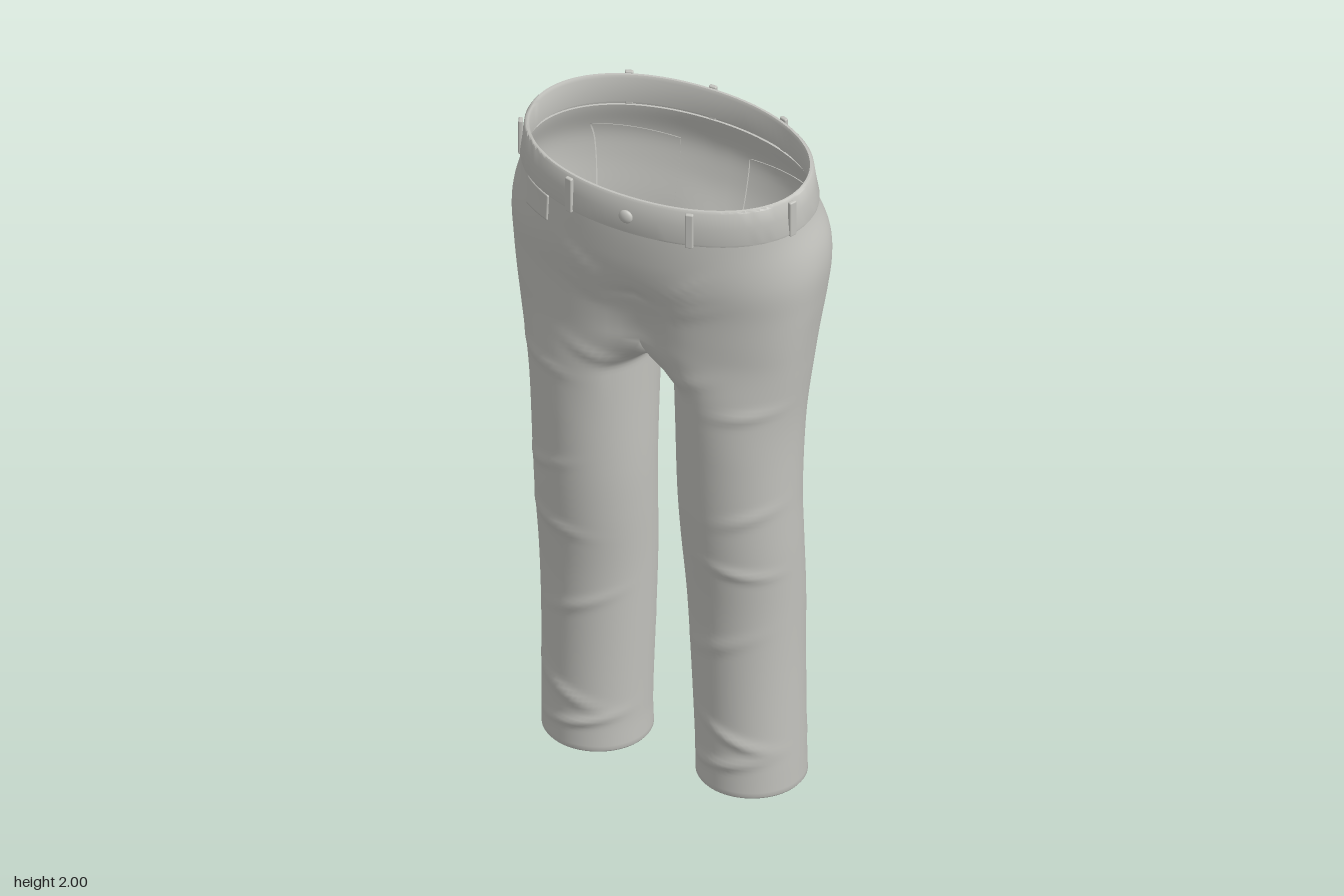
import * as THREE from 'three';
import { mergeVertices, toCreasedNormals } from 'three/addons/utils/BufferGeometryUtils.js';
import { RoundedBoxGeometry } from 'three/addons/geometries/RoundedBoxGeometry.js';

// Silhouette by height: y, outer x, inner leg x, front z, back z
const PROFILE = [
  [0, 0.368, 0.08, 0.13, -0.174], [0.1, 0.368, 0.08, 0.13, -0.168],
  [0.4, 0.367, 0.068, 0.135, -0.166], [0.6, 0.37, 0.06, 0.145, -0.164],
  [0.8, 0.373, 0.052, 0.168, -0.15], [0.95, 0.374, 0.047, 0.18, -0.143],
  [1.2, 0.383, 0.042, 0.192, -0.157], [1.4, 0.405, 0.036, 0.203, -0.175],
  [1.5, 0.418, 0.03, 0.208, -0.188], [1.6, 0.432, 0.03, 0.217, -0.215],
  [1.7, 0.442, 0.03, 0.236, -0.248], [1.77, 0.436, 0.03, 0.245, -0.26],
  [1.87, 0.408, 0.03, 0.25, -0.238], [1.98, 0.394, 0.03, 0.246, -0.225],
];
const CROTCH = 1.46, DIP = 0.095, WAIST = 1.885;
const N = 48, M = 20; // columns on the outer and inner side of a leg
const { smoothstep, lerp, clamp } = THREE.MathUtils;

// Smooth interpolation of the silhouette
function profile(y) {
  const last = PROFILE.length - 1;
  let i = 0;
  while (i < last - 1 && y > PROFILE[i + 1][0]) i++;
  const p = PROFILE[i], q = PROFILE[i + 1], h = q[0] - p[0];
  const t = clamp((y - p[0]) / h, 0, 1);
  const slope = (k, c) => {
    const a = PROFILE[Math.max(k - 1, 0)], b = PROFILE[Math.min(k + 1, last)];
    return (b[c] - a[c]) / (b[0] - a[0]);
  };
  const [X, xi, zf, zb] = [1, 2, 3, 4].map((c) =>
    (2 * t ** 3 - 3 * t * t + 1) * p[c] + (t ** 3 - 2 * t * t + t) * h * slope(i, c) +
    (3 * t * t - 2 * t ** 3) * q[c] + (t ** 3 - t * t) * h * slope(i + 1, c));
  return { X, xi, zc: (zf + zb) / 2, h: (zf - zb) / 2 };
}
const power = (y) => lerp(2.6, 2.1, smoothstep(y, CROTCH, 1.85));
const tilt = (y, z) => y - 0.08 * z * smoothstep(y, 1.55, 1.86);
const groove = (x, y) => 1 - 0.13 * (1 - smoothstep(y, CROTCH, 1.68)) * Math.exp(-((x / 0.09) ** 2));

// Point on the hip cross-section; angle 0 is the front, PI the back
function hipPoint(y, a, off = 0) {
  const { X, zc, h } = profile(y), e = 2 / power(y);
  const s = Math.sin(a), c = Math.cos(a);
  const x = (X + off) * Math.sign(s) * Math.abs(s) ** e;
  const z = zc + (h + off) * Math.sign(c) * Math.abs(c) ** e * groove(x, y);
  return [Math.abs(x) < 1e-6 ? 0 : x, y, z];
}
function hipZ(x, y, side) {
  const { X, zc, h } = profile(y), n = power(y);
  return zc + side * h * Math.max(0, 1 - Math.abs(x / X) ** n) ** (1 / n) * groove(x, y);
}

// One ring of a leg, blended from the half-hip outline to an oval
function legRing(y) {
  const { X, xi, zc, h } = profile(y);
  const cx = (X + xi) / 2, r = (X - xi) / 2, ring = [];
  const fast = smoothstep(y, 1.3, CROTCH), slow = smoothstep(y, 1.12, CROTCH);
  const front = hipPoint(y, 0)[2], back = hipPoint(y, Math.PI)[2];
  for (let i = 0; i < N + M; i++) {
    let d, b = fast, deg;
    if (i <= N) {
      d = hipPoint(y, (Math.PI * i) / N);
      deg = -40 + (260 * i) / N;
      b = lerp(fast, slow, Math.sin((Math.PI * i) / N));
    } else {
      const t = (i - N) / M, k = 2 * t - 1;
      d = [0, y - DIP * (1 - k * k), lerp(back, front, t)];
      deg = 220 + 100 * t;
    }
    const a = (deg * Math.PI) / 180;
    const oval = [cx + r * Math.sin(a), y, zc + h * Math.cos(a)];
    ring.push(oval.map((v, c) => lerp(v, d[c], b)));
  }
  return ring;
}

// Cloth folds: x, y, half length, angle, height, side (1 front, -1 back)
const FOLDS = [[0, 1.63, 0.02, 0, -0.008, 1]];
for (const s of [-1, 1]) {
  for (let k = 0; k < 3; k++) {
    FOLDS.push([s * 0.15, 1.61 + k * 0.045, 0.08, s * (0.45 + k * 0.12), 0.006, 1]);
    FOLDS.push([s * 0.2, 0.76 + k * 0.05, 0.08, s * 0.1, 0.008, -1]);
  }
  FOLDS.push([s * 0.12, 1.36, 0.08, s * 0.4, 0.007, 1], [s * 0.3, 1.29, 0.08, s * 0.15, 0.007, 1],
    [s * 0.3, 0.95, 0.08, 0.35, 0.007, 1], [s * 0.28, 0.76, 0.09, -0.2, 0.008, 1],
    [s * 0.2, 0.5, 0.1, 0.4, 0.006, 1], [s * 0.25, 0.2, 0.1, -0.4, 0.009, 1],
    [s * 0.2, 0.11, 0.12, 0.25, 0.009, 1], [s * 0.2, 0.33, 0.1, 0.3, 0.007, -1],
    [s * 0.24, 0.17, 0.11, -0.3, 0.009, -1], [s * 0.14, 1.38, 0.07, s * 0.3, 0.006, -1]);
}
function crease([x, y, z]) {
  let dz = 0;
  for (const [fx, fy, len, a, amp, side] of FOLDS) {
    const dx = x - fx, dy = y - fy;
    const u = dx * Math.cos(a) + dy * Math.sin(a), v = dy * Math.cos(a) - dx * Math.sin(a);
    dz += side * amp * Math.exp(-((u / len) ** 2) - (v / 0.017) ** 2) * clamp((side * z) / 0.1, 0, 1);
  }
  const lift = (0.016 + 0.08 * z) * (1 - smoothstep(y, 0, 0.15)); // hem is higher in front
  return [x, tilt(y, z) + lift, z + dz];
}

// Joins rings, listed from top to bottom, into a skin
function skin(rings, closed, out) {
  for (let r = 0; r + 1 < rings.length; r++) {
    const n = rings[r].length;
    for (let i = 0; i < (closed ? n : n - 1); i++) {
      const j = (i + 1) % n;
      const a = rings[r][i], b = rings[r][j], c = rings[r + 1][j], d = rings[r + 1][i];
      out.push(a, d, c, a, c, b);
    }
  }
  return out;
}
function toGeometry(points) {
  const g = new THREE.BufferGeometry();
  g.setAttribute('position', new THREE.Float32BufferAttribute(points.flat(), 3));
  const merged = mergeVertices(g, 1e-5);
  merged.computeVertexNormals();
  return merged;
}

function trousersGeometry() {
  const hips = [], leg = [];
  for (let k = 0; k <= 30; k++) {
    const y = lerp(WAIST, CROTCH, k / 30);
    hips.push(Array.from({ length: N + 1 }, (_, i) => hipPoint(y, (Math.PI * i) / N)));
  }
  for (let k = 0; k <= 110; k++) leg.push(legRing(CROTCH * (1 - k / 110)));
  // Hem turned inward
  const hem = leg[leg.length - 1], c = [0.224, 0, -0.022];
  for (const [s, y] of [[0.97, -0.006], [0.9, -0.004], [0.87, 0.01], [0.87, 0.07]])
    leg.push(hem.map((p) => [lerp(c[0], p[0], s), y, lerp(c[2], p[2], s)]));
  const half = skin(leg, true, skin(hips, false, []));
  const mirrored = half.map(([x, y, z]) => [-x, y, z]).reverse();
  return toGeometry([...half, ...mirrored].map(crease));
}

function waistbandGeometry() {
  const rings = [[1.89, -0.012], [1.972, -0.009], [1.98, -0.004], [1.98, 0.002], [1.974, 0.006],
    [1.93, 0.007], [1.88, 0.008], [1.873, 0.006], [1.873, -0.006]].map(([y, off]) =>
    Array.from({ length: 96 }, (_, i) => {
      const p = hipPoint(y, (Math.PI * 2 * i) / 96, off);
      return [p[0], tilt(y, p[2]), p[2]];
    }));
  return toCreasedNormals(toGeometry(skin(rings, true, [])), 0.9);
}

// Cloth patch laid on the hips; corners are TL, TR, BR, BL and tip lowers the bottom middle
function patchGeometry([tl, tr, br, bl], tip, side, height) {
  const S = 18, rings = [];
  const stop = (k) => (k === 0 || k === S ? k / S : lerp(0.02, 0.98, (k - 1) / (S - 2)));
  for (let r = 0; r <= S; r++) {
    rings.push([]);
    for (let i = 0; i <= S; i++) {
      const u = stop(i), v = stop(r);
      const x = lerp(lerp(tl[0], tr[0], u), lerp(bl[0], br[0], u), v);
      const y = lerp(lerp(tl[1], tr[1], u), lerp(bl[1], br[1], u), v) - tip * v * (1 - Math.abs(2 * u - 1));
      const z = hipZ(x, y, side);
      const edge = r === 0 || i === 0 || r === S || i === S;
      rings[r].push([x, tilt(y, z), z + side * (edge ? -0.004 : height)]);
    }
  }
  return toGeometry(skin(rings, false, []));
}

export function createModel() {
  const model = new THREE.Group();
  model.name = 'trousers';
  const cloth = new THREE.MeshStandardMaterial({ color: 0xc3c3be, side: THREE.DoubleSide });
  cloth.name = 'light grey cloth';
  const add = (name, geometry) => {
    const mesh = new THREE.Mesh(geometry, cloth);
    mesh.name = name;
    model.add(mesh);
    return mesh;
  };

  add('hipsAndLegs', trousersGeometry());
  add('waistband', waistbandGeometry());

  // Back pockets and the small front pocket
  const pocket = [[0.1, 1.77], [0.325, 1.795], [0.3, 1.575], [0.095, 1.555]];
  add('leftBackPocket', patchGeometry([1, 0, 3, 2].map((k) => pocket[k]), 0.045, -1, 0.01));
  add('rightBackPocket', patchGeometry([0, 1, 2, 3].map((k) => [-pocket[k][0], pocket[k][1]]), 0.045, -1, 0.01));
  add('coinPocket', patchGeometry([[-0.34, 1.87], [-0.25, 1.87], [-0.253, 1.785], [-0.337, 1.785]], 0, 1, 0.005));
  add('waistPatch', patchGeometry([[-0.035, 1.965], [-0.17, 1.965], [-0.17, 1.89], [-0.035, 1.89]], 0, -1, 0.013));

  // Belt loops around the waistband
  for (const a of [0.42, 1.29, 2.58, Math.PI, -2.58, -1.29, -0.42]) {
    const p = hipPoint(1.92, a, 0.01), q = hipPoint(1.92, a + 0.02, 0.01), o = hipPoint(1.92, a - 0.02, 0.01);
    const strap = add('beltLoop', new RoundedBoxGeometry(0.022, 0.108, 0.012, 2, 0.004));
    strap.position.set(p[0], tilt(1.923, p[2]), p[2]);
    strap.rotation.y = Math.atan2(o[2] - q[2], q[0] - o[0]);
  }

  // Front button
  const button = add('button', new THREE.SphereGeometry(0.02, 20, 12));
  button.scale.z = 0.5;
  button.position.set(0, 1.905, hipZ(0, 1.92, 1) + 0.01);
  return model;
}
